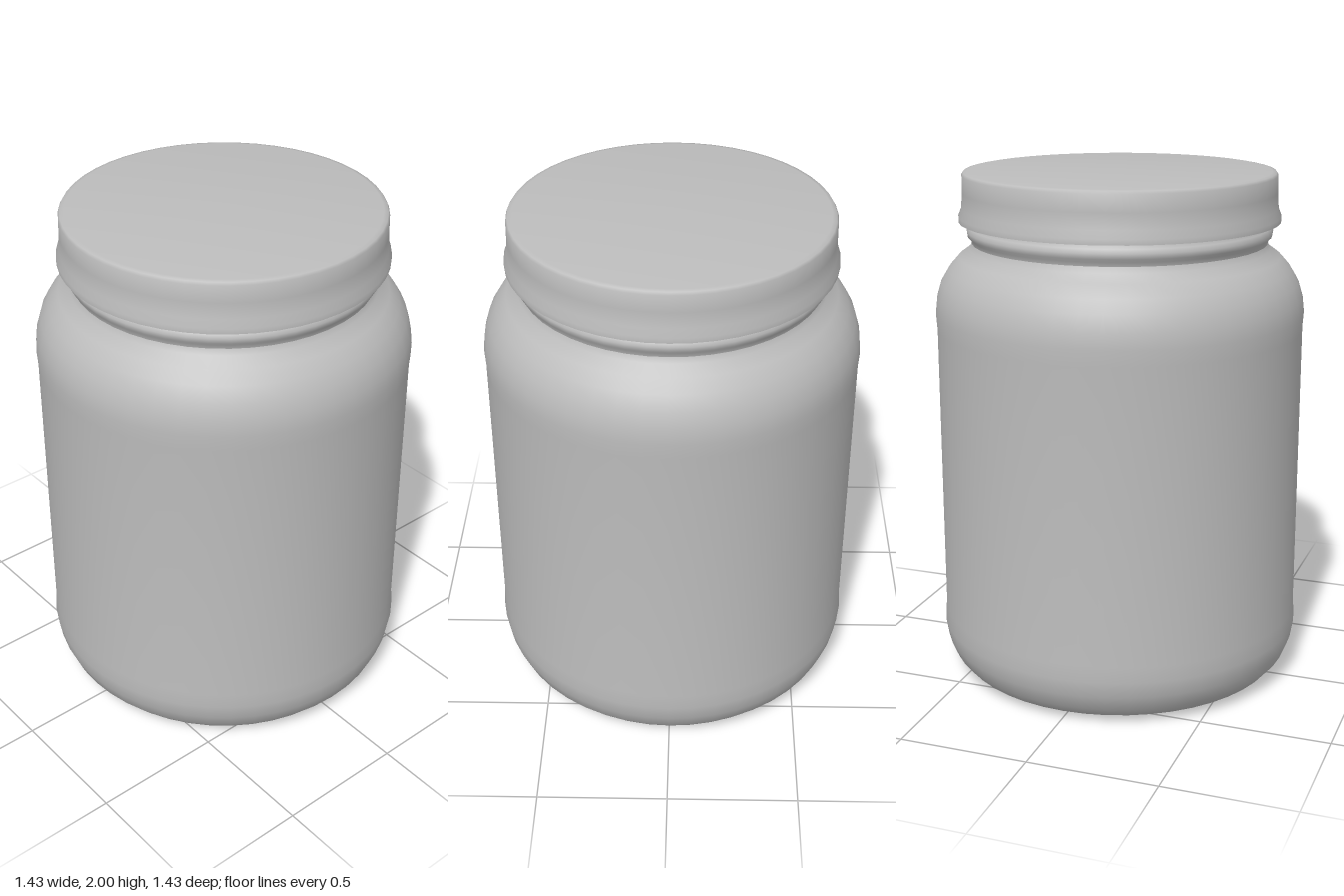
import * as THREE from 'three';
import { toCreasedNormals } from 'three/addons/utils/BufferGeometryUtils.js';

const SIDES = 48;

// Turned part from a profile of [radius, height] pairs, listed bottom to top
function turned(name, profile, material, smooth) {
  const points = profile.map(([r, y]) => new THREE.Vector2(r, y));
  const geometry = toCreasedNormals(new THREE.LatheGeometry(points, SIDES), smooth);
  const mesh = new THREE.Mesh(geometry, material);
  mesh.name = name;
  return mesh;
}

export function createModel() {
  const grey = new THREE.MeshStandardMaterial({ color: 0xbcbcbc });
  grey.name = 'plain grey';

  const jar = new THREE.Group();
  jar.name = 'jar';

  // Body: slightly dished base, rounded foot, straight wall, round shoulder
  jar.add(turned('body', [
    [0, 0.02], [0.5, 0.015], [0.56, 0.005], [0.6, 0.012], [0.645, 0.035], [0.68, 0.075],
    [0.705, 0.135], [0.716, 0.2], [0.711, 0.26], [0.711, 1.4], [0.715, 1.46],
    [0.708, 1.52], [0.69, 1.58], [0.66, 1.63], [0.62, 1.675], [0.578, 1.705], [0.568, 1.73],
  ], grey, 0.7));

  // Neck with a raised bead below the lid
  jar.add(turned('neck', [
    [0.568, 1.72], [0.572, 1.742], [0.585, 1.755], [0.588, 1.775],
    [0.58, 1.79], [0.57, 1.8], [0.57, 1.825],
  ], grey, 0.9));

  // Lid: flared lower rim, nearly straight skirt, flat top
  jar.add(turned('lid', [
    [0.56, 1.815], [0.6, 1.808], [0.618, 1.81], [0.618, 1.83], [0.606, 1.86],
    [0.603, 1.92], [0.602, 1.985], [0.596, 1.995], [0.58, 1.998], [0, 2],
  ], grey, 0.85));

  return jar;
}
